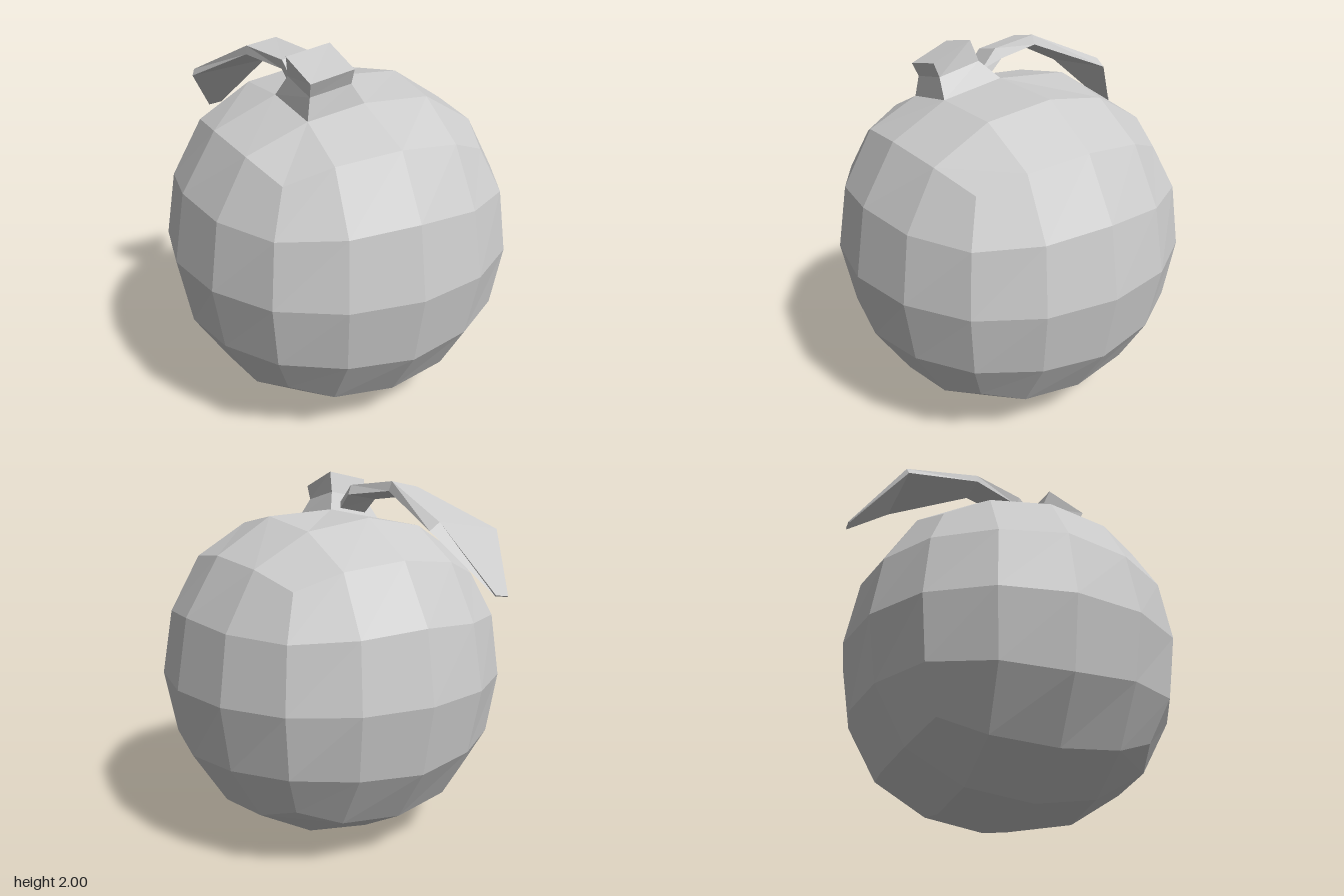
import * as THREE from 'three';

const material = new THREE.MeshStandardMaterial({ color: 0xcccccc, flatShading: true });

function makeMesh(geometry, name) {
  geometry.computeVertexNormals();
  const mesh = new THREE.Mesh(geometry, material);
  mesh.name = name;
  return mesh;
}

// Closed solid through four-cornered rings, counter-clockwise seen from the far end
function loft(rings) {
  const points = [];
  const quad = (a, b, c, d) => points.push(...a, ...b, ...c, ...a, ...c, ...d);
  for (let r = 0; r < rings.length - 1; r++) {
    for (let i = 0; i < 4; i++) {
      const j = (i + 1) % 4;
      quad(rings[r][i], rings[r][j], rings[r + 1][j], rings[r + 1][i]);
    }
  }
  quad(...[...rings[0]].reverse());
  quad(...rings[rings.length - 1]);
  const geometry = new THREE.BufferGeometry();
  geometry.setAttribute('position', new THREE.Float32BufferAttribute(points, 3));
  return geometry;
}

// Top patch of the body that the neck grows from
const neckBase = {
  frontRight: [-0.33, 1.69, 0.4],
  frontLeft: [-0.025, 1.74, 0.4],
  backLeft: [-0.025, 1.8, 0.06],
  backRight: [-0.345, 1.74, 0.06],
};

// Round body: a subdivided cube pushed out to a ball, by grid step of each coordinate
function bodyGeometry() {
  const rounded = {
    '002': [0, 0, 0.92],
    '012': [0, 0.37, 0.855],
    '022': [0, 0, 0.67],
    '112': [0, 0.345, 0.8],
    '122': [0, 0.33, 0.635],
    '222': [0, 0, 0.55],
  };
  const dents = {
    '-1,2,1': neckBase.frontRight,
    '0,2,1': neckBase.frontLeft,
    '0,2,0': neckBase.backLeft,
    '-1,2,0': neckBase.backRight,
  };
  const geometry = new THREE.BoxGeometry(4, 4, 4, 4, 4, 4);
  const pos = geometry.attributes.position;
  for (let i = 0; i < pos.count; i++) {
    const step = [pos.getX(i), pos.getY(i), pos.getZ(i)].map((v) => Math.round(v) + 0);
    const sizes = rounded[step.map(Math.abs).sort().join('')];
    const [x, y, z] = step.map((s) => Math.sign(s) * sizes[Math.abs(s)]);
    const p = dents[step.join(',')] || [x, y + 0.923, z + 0.04];
    pos.setXYZ(i, ...p);
  }
  return geometry;
}

export function createModel() {
  const group = new THREE.Group();
  group.name = 'roundGrenade';

  group.add(makeMesh(bodyGeometry(), 'body'));

  // Neck: flared foot, waist and slanted head
  group.add(makeMesh(loft([
    [neckBase.frontRight, neckBase.frontLeft, neckBase.backLeft, neckBase.backRight],
    [[-0.31, 1.8, 0.385], [-0.09, 1.84, 0.385], [-0.09, 1.89, 0.15], [-0.315, 1.85, 0.15]],
    [[-0.32, 1.87, 0.415], [-0.09, 1.915, 0.415], [-0.105, 2.0, 0.19], [-0.34, 1.955, 0.19]],
  ]), 'neck'));

  // Lever stations: bottom left edge, bottom right edge, top right edge, top left edge (+x is left)
  group.add(makeMesh(loft([
    [[-0.1, 1.8, 0.08], [-0.265, 1.77, 0.08], [-0.27, 1.8, 0.115], [-0.12, 1.83, 0.115]],
    [[-0.1, 1.88, 0], [-0.28, 1.85, 0], [-0.285, 1.9, 0.02], [-0.13, 1.93, 0.02]],
    [[-0.17, 1.905, -0.27], [-0.365, 1.88, -0.27], [-0.36, 1.925, -0.27], [-0.19, 1.955, -0.27]],
    [[-0.08, 1.735, -0.71], [-0.535, 1.69, -0.7], [-0.52, 1.725, -0.71], [-0.14, 1.775, -0.71]],
    [[-0.285, 1.44, -0.955], [-0.365, 1.43, -0.955], [-0.365, 1.435, -0.96], [-0.285, 1.445, -0.96]],
  ]).rotateX(0), 'lever'));

  return group;
}
